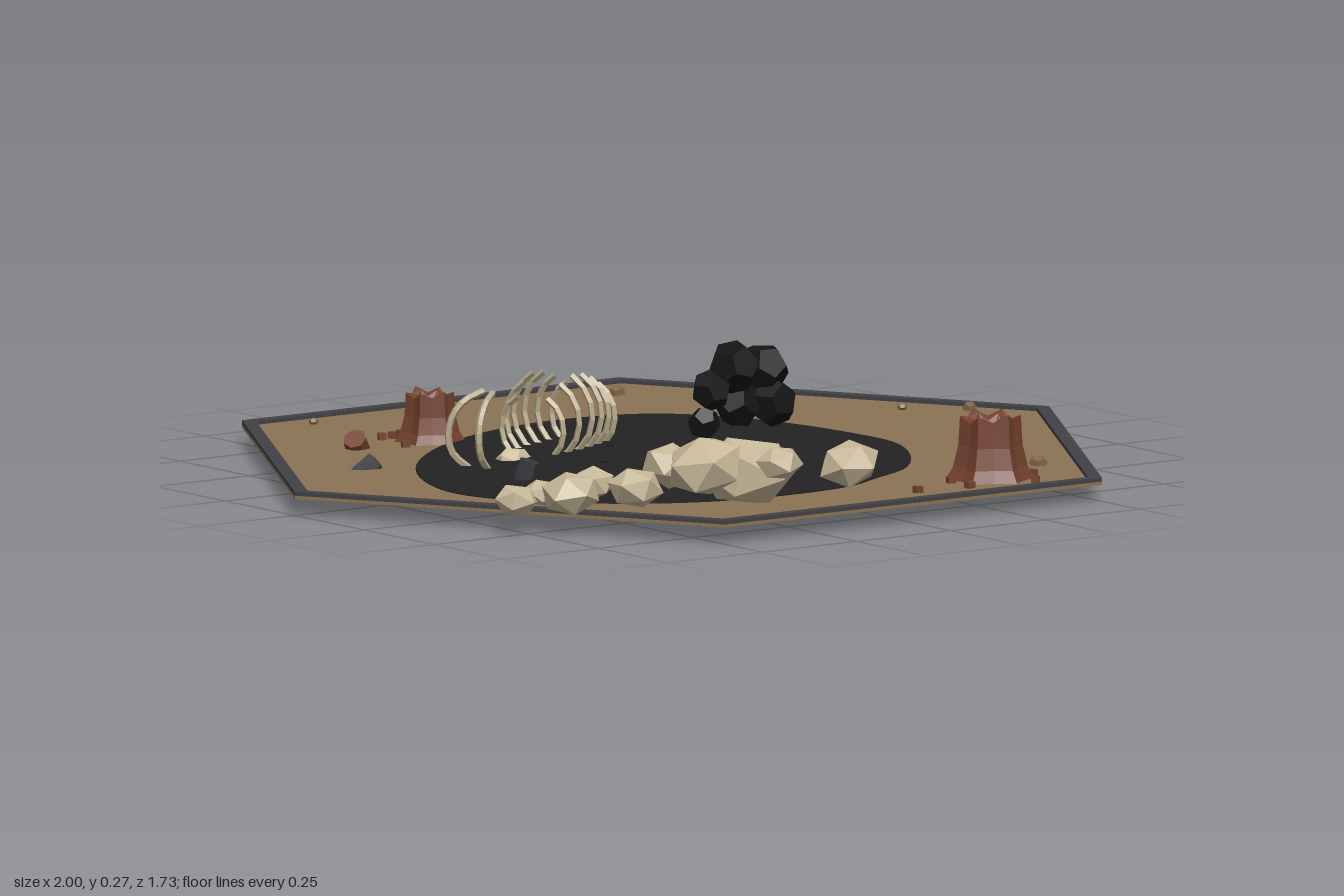
import * as THREE from 'three';

const mat = (name, color, extra = {}) => {
  const m = new THREE.MeshStandardMaterial({ color, flatShading: true, ...extra });
  m.name = name;
  return m;
};

export function createModel() {
  const root = new THREE.Group();
  root.name = 'tarPit';
  const M = {
    sand: mat('sand', 0x8b7355),
    border: mat('slateBorder', 0x404046),
    tar: mat('tar', 0x222222),
    bubble: mat('tarBubble', 0x141414),
    rock: mat('paleRock', 0xc6b798),
    bone: mat('bone', 0xb5a888),
    skull: mat('skullBone', 0xd2c4a2),
    rust: mat('rustClay', 0x74412f),
    log: mat('charredWood', 0x38383d),
    pebble: mat('pebble', 0x7d6548),
  };
  let seed = 7;
  const rnd = () => (seed = (seed * 16807) % 2147483647) / 2147483647;

  const add = (name, geo, material, pos = [0, 0, 0], parent = root) => {
    const m = new THREE.Mesh(geo, material);
    m.name = name;
    m.position.set(...pos);
    parent.add(m);
    return m;
  };
  const slab = (shape, y0, y1) =>
    new THREE.ExtrudeGeometry(shape, { depth: y1 - y0, bevelEnabled: false, curveSegments: 64 })
      .rotateX(-Math.PI / 2).translate(0, y0, 0);

  // Hexagonal ground with a raised rim
  const hex = (r) => Array.from({ length: 6 }, (_, i) =>
    new THREE.Vector2(r * Math.cos(i * Math.PI / 3), r * Math.sin(i * Math.PI / 3)));
  add('ground', slab(new THREE.Shape(hex(1)), 0.038, 0.045), M.sand);
  const rim = new THREE.Shape(hex(1));
  rim.holes.push(new THREE.Path(hex(0.967)));
  add('groundRim', slab(rim, 0.045, 0.053), M.border);

  // Tar pool, outline as x, z
  const outline = [[0.083, -0.503], [0.27, -0.46], [0.377, -0.34], [0.436, -0.18], [0.463, -0.01],
    [0.463, 0.166], [0.39, 0.326], [0.27, 0.47], [0.136, 0.545], [0.03, 0.6], [-0.12, 0.62],
    [-0.32, 0.6], [-0.48, 0.524], [-0.61, 0.406], [-0.68, 0.3], [-0.708, 0.18], [-0.676, 0.043],
    [-0.585, -0.128], [-0.45, -0.278], [-0.29, -0.396], [-0.104, -0.476]];
  const loop = new THREE.CatmullRomCurve3(outline.map(([x, z]) => new THREE.Vector3(x, -z, 0)), true);
  const poolPts = loop.getPoints(80).slice(0, -1).map((p) => new THREE.Vector2(p.x, p.y));
  add('tarPool', slab(new THREE.Shape(poolPts), 0.036, 0.047), M.tar);

  // Pale boulders: x, y, z, radius
  [[-0.773, 0.075, 0.487, 0.048], [-0.687, 0.08, 0.46, 0.04], [-0.596, 0.1, 0.52, 0.05],
    [-0.68, 0.09, 0.556, 0.064], [-0.56, 0.1, 0.626, 0.06], [-0.414, 0.125, 0.556, 0.066],
    [-0.393, 0.135, 0.65, 0.088], [-0.27, 0.11, 0.636, 0.105], [-0.28, 0.145, 0.765, 0.05],
    [-0.072, 0.12, 0.733, 0.068]].forEach(([x, y, z, r]) => {
    const g = new THREE.IcosahedronGeometry(r, 0)
      .rotateX(rnd() * 6).rotateY(rnd() * 6).scale(1.05, 0.75, 1).rotateZ((rnd() - 0.5) * 0.6);
    add('boulder', g, M.rock, [x, y, z]);
  });

  // Cluster of tar bubbles above the pool
  [[0.17, 0.213, -0.01, 0.058], [0.115, 0.168, -0.015, 0.045], [0.115, 0.093, -0.04, 0.036],
    [0.28, 0.193, -0.055, 0.058], [0.222, 0.122, -0.06, 0.052], [0.29, 0.125, -0.035, 0.056]]
    .forEach(([x, y, z, r]) => {
      const g = new THREE.DodecahedronGeometry(r, 0).rotateX(rnd() * 6).rotateY(rnd() * 6);
      add('tarBubble', g, M.bubble, [x, y, z]);
    });
  // Small lumps sagging under the pool
  [[-0.3, 0.28], [-0.12, 0.15], [-0.2, 0.03], [0, 0.08], [0.08, -0.05], [-0.06, -0.14], [-0.28, 0.1]]
    .forEach(([x, z]) => add('tarLump', new THREE.DodecahedronGeometry(0.016, 0), M.bubble, [x, 0.035, z]));

  // Ridged, hollow, jagged-topped clay mounds
  const mound = (x, z, r, h) => {
    const profile = [[1, 0], [0.84, 0.18], [0.72, 0.5], [0.68, 1], [0.44, 0.95], [0.3, 0.72], [0, 0.68]]
      .map(([a, b]) => new THREE.Vector2(a * r, b * h));
    const g = new THREE.LatheGeometry(profile, 12);
    const p = g.attributes.position;
    for (let i = 0; i < p.count; i++) {
      const side = Math.floor(i / profile.length) % 12;
      const k = side % 2 ? 0.8 : 1;
      const top = p.getY(i) > 0.9 * h;
      const y = top ? p.getY(i) - h * [0, 0.1, 0.06, 0.16, 0.02, 0.12][side % 6] : p.getY(i);
      p.setXYZ(i, p.getX(i) * k, y, p.getZ(i) * k);
    }
    g.computeVertexNormals();
    add('clayMound', g, M.rust, [x, 0.045, z]);
  };
  mound(0.334, 0.69, 0.096, 0.145);
  mound(-0.318, -0.438, 0.076, 0.112);
  // Clay crumbs around the mounds
  [[0.43, 0.71], [0.38, 0.79], [0.22, 0.77], [0.094, 0.755], [0.23, 0.69],
    [-0.36, -0.515], [-0.39, -0.513], [-0.33, -0.525], [-0.41, -0.4], [-0.24, -0.476]].forEach(([x, z]) => {
    add('clayCrumb', new THREE.BoxGeometry(0.016, 0.018, 0.018).rotateY(rnd() * 3), M.rust, [x, 0.05, z]);
  });

  // Half-sunken log stumps
  [[-0.5, 0.045, -0.45, 0.028, 0.065, M.rust, 0.5, 0.6], [-0.655, 0.04, -0.215, 0.026, 0.06, M.log, 0.2, -0.9],
    [-0.473, 0.05, 0.112, 0.025, 0.075, M.log, 0.2, -0.2]].forEach(([x, y, z, r, l, m, rx, rz]) => {
    add('logStump', new THREE.CylinderGeometry(r * 0.9, r, l, 7), m, [x, y, z]).rotation.set(rx, 0, rz);
  });

  // Pebbles: x, z, radius
  [[-0.377, -0.775, 0.011], [0.382, -0.717, 0.021], [0.596, -0.508, 0.01], [0.751, -0.19, 0.011],
    [0.863, -0.1, 0.017], [0.778, 0.112, 0.017], [0.682, 0.235, 0.02], [0.527, 0.6, 0.021]].forEach(([x, z, r]) => {
    const g = new THREE.DodecahedronGeometry(r, 0).scale(1, 0.8, 1).rotateY(rnd() * 6);
    add('pebble', g, M.pebble, [x, 0.05, z]);
  });

  // Skeleton on its back: spine along local z, ribs open upward
  const skeleton = new THREE.Group();
  skeleton.name = 'skeleton';
  skeleton.position.set(-0.144, 0, -0.215);
  skeleton.rotation.y = Math.atan2(0.91, -0.41);
  root.add(skeleton);
  for (let i = 0; i < 11; i++) {
    add('vertebra', new THREE.BoxGeometry(0.026, 0.02, 0.016), M.bone, [0, 0.024, -0.125 + i * 0.025], skeleton);
  }
  const gap = 0.5;
  [0.076, 0.09, 0.097, 0.095, 0.088, 0.078].forEach((r, i) => {
    const g = new THREE.TorusGeometry(r, 0.007, 4, 14, Math.PI * 2 - gap * 2).rotateZ(Math.PI / 2 + gap);
    add('ribPair', g, M.bone, [0, 0.022 + r, -0.11 + i * 0.044], skeleton);
  });
  add('skull', new THREE.IcosahedronGeometry(1, 0).scale(0.032, 0.026, 0.06), M.skull, [0, 0.045, -0.195], skeleton);

  // Pair of curved tusks meeting at their tips
  [[-0.12, -0.505], [-0.035, -0.49]].forEach(([z, x]) => {
    const path = new THREE.CatmullRomCurve3([
      new THREE.Vector3(x + 0.05, 0.035, z * 0.5 - 0.04), new THREE.Vector3(x + 0.008, 0.08, z),
      new THREE.Vector3(x + 0.005, 0.14, z), new THREE.Vector3(x + 0.03, 0.185, z * 0.7 - 0.024),
      new THREE.Vector3(-0.425, 0.205, z * 0.4 - 0.054)]);
    add('tusk', new THREE.TubeGeometry(path, 12, 0.008, 5), M.bone);
  });
  return root;
}
